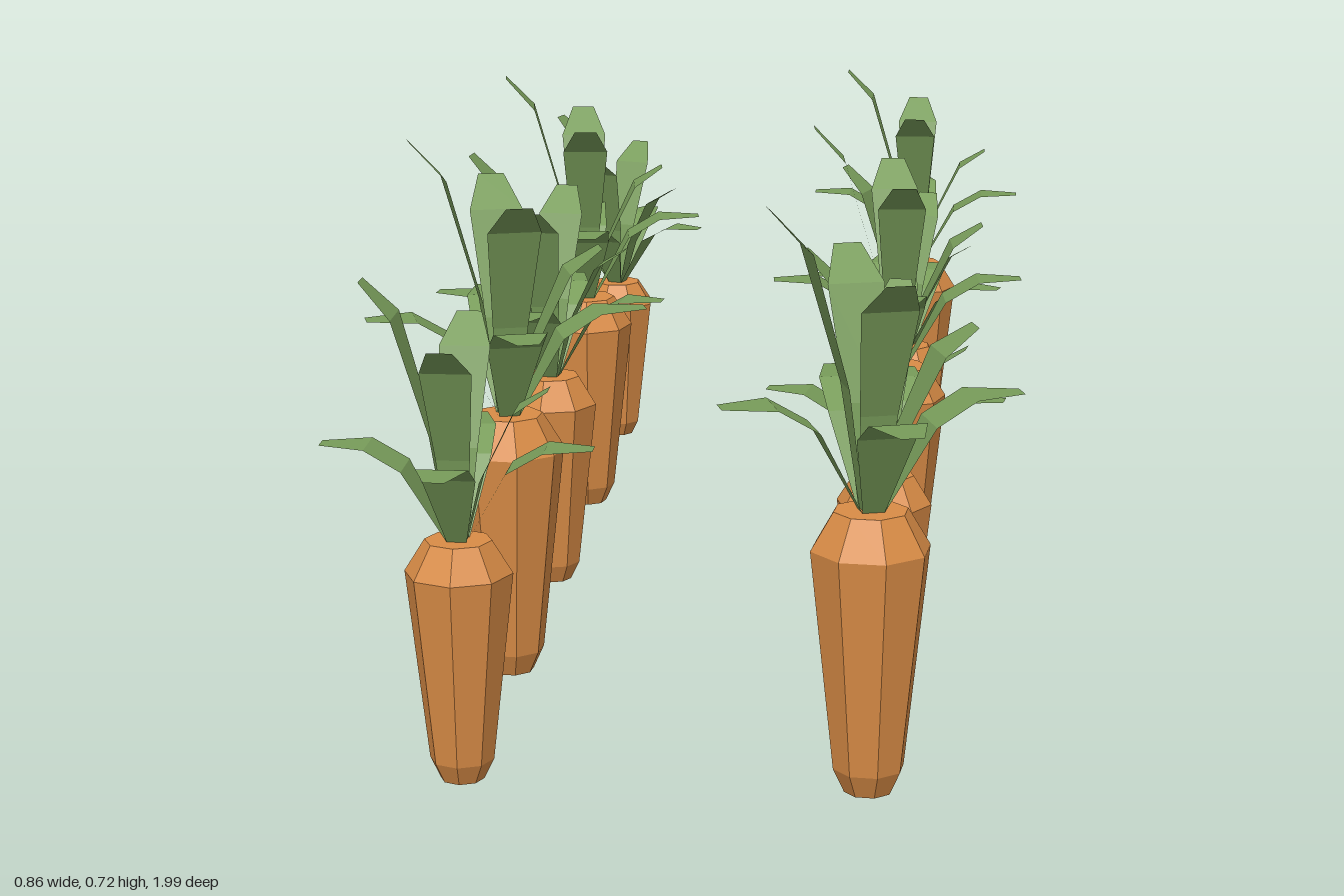
import * as THREE from 'three';

export function createModel() {
  const orange = new THREE.MeshStandardMaterial({ color: 0xd98c46 });
  orange.name = 'carrot orange';
  const green = new THREE.MeshStandardMaterial({ color: 0x789c5a, side: THREE.DoubleSide });
  green.name = 'leaf green';

  const faceted = (geometry) => {
    const flat = geometry.index ? geometry.toNonIndexed() : geometry;
    flat.computeVertexNormals();
    return flat;
  };

  // Eight-sided root with chamfered tip and shoulder
  const rootProfile = [[0, 0], [0.03, 0], [0.044, 0.03], [0.074, 0.305], [0.046, 0.352], [0, 0.352]];
  const rootGeometry = faceted(
    new THREE.LatheGeometry(rootProfile.map(([r, y]) => new THREE.Vector2(r, y)), 8));

  // Leaf: a bent flat strip growing along +z; rows are [distance, height, half width]
  const BASE = 0.345;
  function leafGeometry(rows, stretch = 1) {
    const positions = [];
    const index = [];
    rows.forEach(([d, h, w], i) => {
      const y = BASE + h * stretch;
      positions.push(-w, y, d, w, y, d);
      if (i > 0) {
        const a = 2 * i - 2;
        index.push(a, a + 1, a + 3, a, a + 3, a + 2);
      }
    });
    const g = new THREE.BufferGeometry();
    g.setAttribute('position', new THREE.Float32BufferAttribute(positions, 3));
    g.setIndex(index);
    return faceted(g);
  }
  const upperRows = [[0.01, 0, 0.012], [0.033, 0.13, 0.023], [0.08, 0.265, 0.035], [0.125, 0.305, 0.017]];
  const lowerRows = [[0.01, 0, 0.012], [0.07, 0.112, 0.036], [0.12, 0.142, 0.035], [0.184, 0.142, 0.014]];
  const lowerLeaf = leafGeometry(lowerRows);
  // Upper leaves towards +z, +x, -z, -x: the tuft leans, so heights differ
  const upperLeaves = [1, 0.74, 1, 1.23].map((s) => leafGeometry(upperRows, s));

  function addMesh(parent, name, geometry, material) {
    const mesh = new THREE.Mesh(geometry, material);
    mesh.name = name;
    parent.add(mesh);
    return mesh;
  }

  function makeCarrot() {
    const carrot = new THREE.Group();
    carrot.name = 'carrot';
    addMesh(carrot, 'root', rootGeometry, orange);
    upperLeaves.forEach((upper, i) => {
      addMesh(carrot, 'upperLeaf', upper, green).rotation.y = i * Math.PI / 2;
      addMesh(carrot, 'lowerLeaf', lowerLeaf, green).rotation.y = i * Math.PI / 2;
    });
    return carrot;
  }

  // Two columns of five: [x, z, size, turn in degrees]
  const plants = [
    [-0.25, -0.833, 0.74, -17], [0.245, -0.833, 0.86, 0],
    [-0.25, -0.415, 0.93, 8], [0.245, -0.415, 0.74, -17],
    [-0.25, -0.007, 0.86, -6], [0.245, -0.007, 0.93, 6],
    [-0.25, 0.405, 1, 17], [0.245, 0.405, 0.8, -8],
    [-0.25, 0.817, 0.86, 0], [0.245, 0.817, 1, 17],
  ];
  const model = new THREE.Group();
  model.name = 'carrotPatch';
  for (const [x, z, size, turn] of plants) {
    const carrot = makeCarrot();
    const spread = 1 - (1 - size) * 0.75;
    carrot.position.set(x, 0, z);
    carrot.scale.set(spread, size, spread);
    carrot.rotation.y = THREE.MathUtils.degToRad(turn);
    model.add(carrot);
  }
  return model;
}
